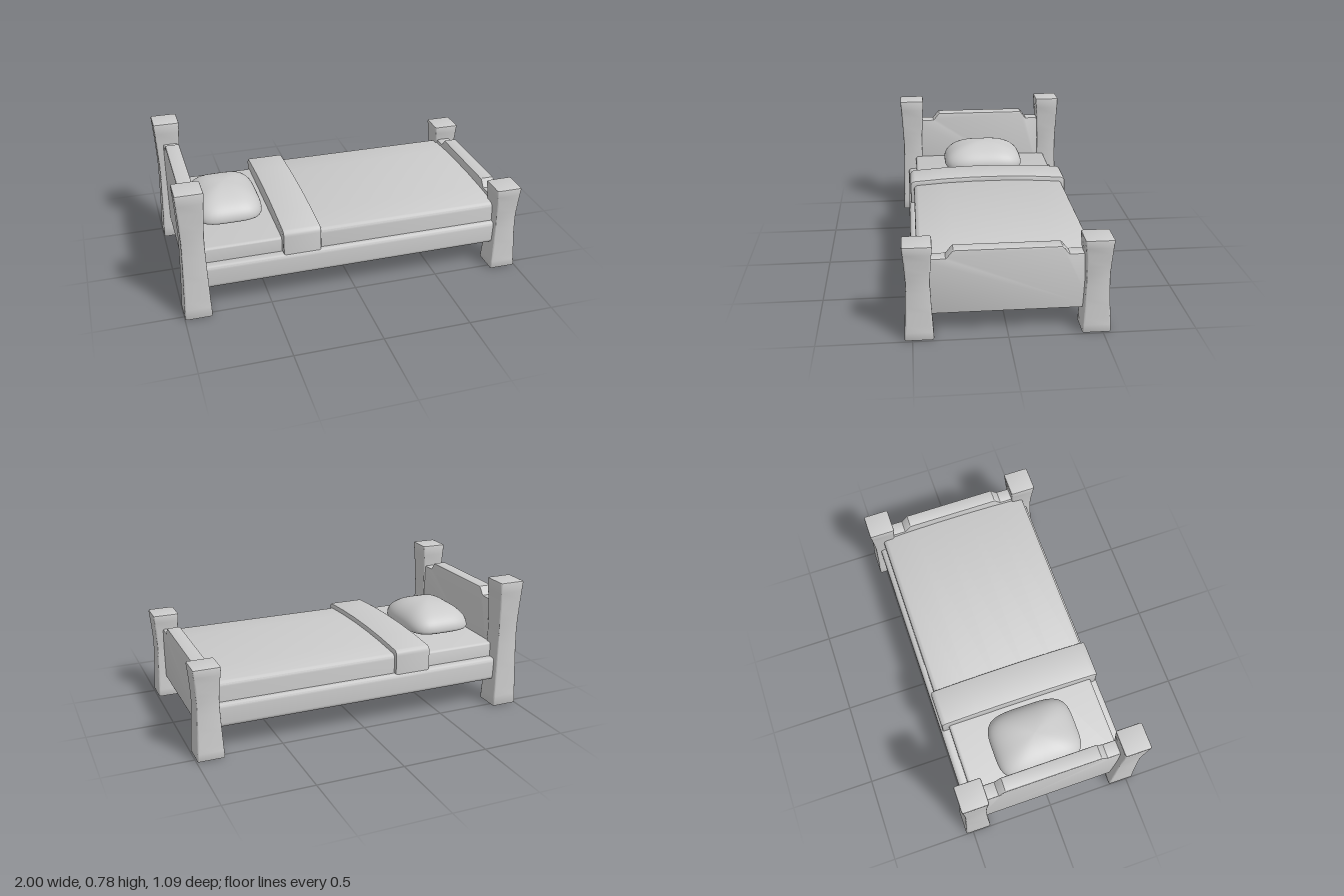
import * as THREE from 'three';
import { toCreasedNormals } from 'three/addons/utils/BufferGeometryUtils.js';

const material = new THREE.MeshStandardMaterial({ color: 0xcccccc });

function addMesh(group, name, geometry) {
  const mesh = new THREE.Mesh(geometry, material);
  mesh.name = name;
  group.add(mesh);
  return mesh;
}

// Extrudes an outline within the given depth, with softened ends
function softExtrude(shape, depth, bevel, steps = 1) {
  return new THREE.ExtrudeGeometry(shape, {
    depth: depth - 2 * bevel, steps, curveSegments: 5,
    bevelEnabled: true, bevelSize: bevel, bevelThickness: bevel,
    bevelOffset: -bevel, bevelSegments: 2,
  }).translate(0, 0, bevel);
}

// Extrudes a (z, y) outline along x from x0 to x1
function alongX(shape, x0, x1, bevel) {
  const geometry = softExtrude(shape, x1 - x0, bevel);
  geometry.rotateY(-Math.PI / 2).translate(x1, 0, 0);
  return toCreasedNormals(geometry, 0.6);
}

function roundedRect(x0, x1, y0, y1, r) {
  const s = new THREE.Shape();
  s.moveTo(x0 + r, y0);
  s.lineTo(x1 - r, y0);
  s.quadraticCurveTo(x1, y0, x1, y0 + r);
  s.lineTo(x1, y1 - r);
  s.quadraticCurveTo(x1, y1, x1 - r, y1);
  s.lineTo(x0 + r, y1);
  s.quadraticCurveTo(x0, y1, x0, y1 - r);
  s.lineTo(x0, y0 + r);
  s.quadraticCurveTo(x0, y0, x0 + r, y0);
  return s;
}

// Cloth section: straight sides, round shoulders and a slightly arched top
function clothSection(halfWidth, bottom, shoulder, top, r) {
  const s = new THREE.Shape();
  s.moveTo(-halfWidth, bottom);
  s.lineTo(halfWidth, bottom);
  s.lineTo(halfWidth, shoulder - r);
  s.quadraticCurveTo(halfWidth, shoulder, halfWidth - r, shoulder + 0.004);
  s.quadraticCurveTo(0, 2 * top - shoulder - 0.004, -halfWidth + r, shoulder + 0.004);
  s.quadraticCurveTo(-halfWidth, shoulder, -halfWidth, shoulder - r);
  s.closePath();
  return s;
}

// Square post that flares from a narrow waist to both ends
function postGeometry(height) {
  const h = 0.078;
  const geometry = softExtrude(roundedRect(-h, h, -h, h, 0.014), height, 0.01, 14);
  geometry.rotateX(-Math.PI / 2);
  const p = geometry.attributes.position;
  for (let i = 0; i < p.count; i++) {
    const t = Math.abs((p.getY(i) / height - 0.6) / (p.getY(i) / height > 0.6 ? 0.4 : 0.6));
    const k = 0.81 + 0.19 * Math.pow(Math.min(t, 1), 1.4);
    p.setX(i, p.getX(i) * k);
    p.setZ(i, p.getZ(i) * k);
  }
  return toCreasedNormals(geometry, 0.6);
}

// End board with stepped shoulders on its top edge
function boardShape(top, shoulder) {
  return new THREE.Shape([
    [-0.45, 0.125], [0.45, 0.125], [0.45, shoulder], [0.32, shoulder], [0.31, shoulder + 0.01],
    [0.288, top - 0.006], [0.28, top], [-0.28, top], [-0.288, top - 0.006],
    [-0.31, shoulder + 0.01], [-0.32, shoulder], [-0.45, shoulder],
  ].map(([z, y]) => new THREE.Vector2(z, y)));
}

// Cushion with a squarish plan, a domed top and a flatter underside
function pillowGeometry() {
  const geometry = new THREE.SphereGeometry(1, 48, 32);
  const p = geometry.attributes.position;
  for (let i = 0; i < p.count; i++) {
    const x = p.getX(i), y = p.getY(i), z = p.getZ(i);
    const r = Math.hypot(x, z);
    let k = 0;
    if (r > 1e-6) {
      const n = 4;
      k = 1 / Math.pow(Math.pow(Math.abs(x / r), n) + Math.pow(Math.abs(z / r), n), 1 / n);
    }
    const height = y > 0 ? 0.13 * y : -0.048 * Math.pow(-y, 0.8);
    p.setXYZ(i, x * k * 0.2, height, z * k * 0.255);
  }
  geometry.computeVertexNormals();
  return geometry;
}

export function createModel() {
  const bed = new THREE.Group();
  bed.name = 'bed';

  // Posts and side rails, mirrored front to back
  for (const side of [1, -1]) {
    const label = side > 0 ? 'Front' : 'Back';
    addMesh(bed, `headPost${label}`, postGeometry(0.78)).position.set(-0.922, 0, side * 0.465);
    addMesh(bed, `footPost${label}`, postGeometry(0.53)).position.set(0.919, 0, side * 0.465);
    const rail = roundedRect(side > 0 ? 0.43 : -0.5, side > 0 ? 0.5 : -0.43, 0.16, 0.297, 0.026);
    addMesh(bed, `sideRail${label}`, alongX(rail, -0.9, 0.9, 0.004));
  }

  // End boards
  addMesh(bed, 'headboard', alongX(boardShape(0.688, 0.642), -0.95, -0.865, 0.008));
  addMesh(bed, 'footboard', alongX(boardShape(0.482, 0.438), 0.86, 0.942, 0.008));

  // Bedding
  addMesh(bed, 'mattress', alongX(roundedRect(-0.448, 0.448, 0.19, 0.382, 0.02), -0.88, 0.88, 0.006));
  addMesh(bed, 'blanket', alongX(clothSection(0.468, 0.27, 0.408, 0.43, 0.025), -0.38, 0.875, 0.006));
  addMesh(bed, 'blanketFold', alongX(clothSection(0.49, 0.293, 0.436, 0.46, 0.03), -0.42, -0.2, 0.012));
  addMesh(bed, 'pillow', pillowGeometry()).position.set(-0.66, 0.424, 0);

  return bed;
}
